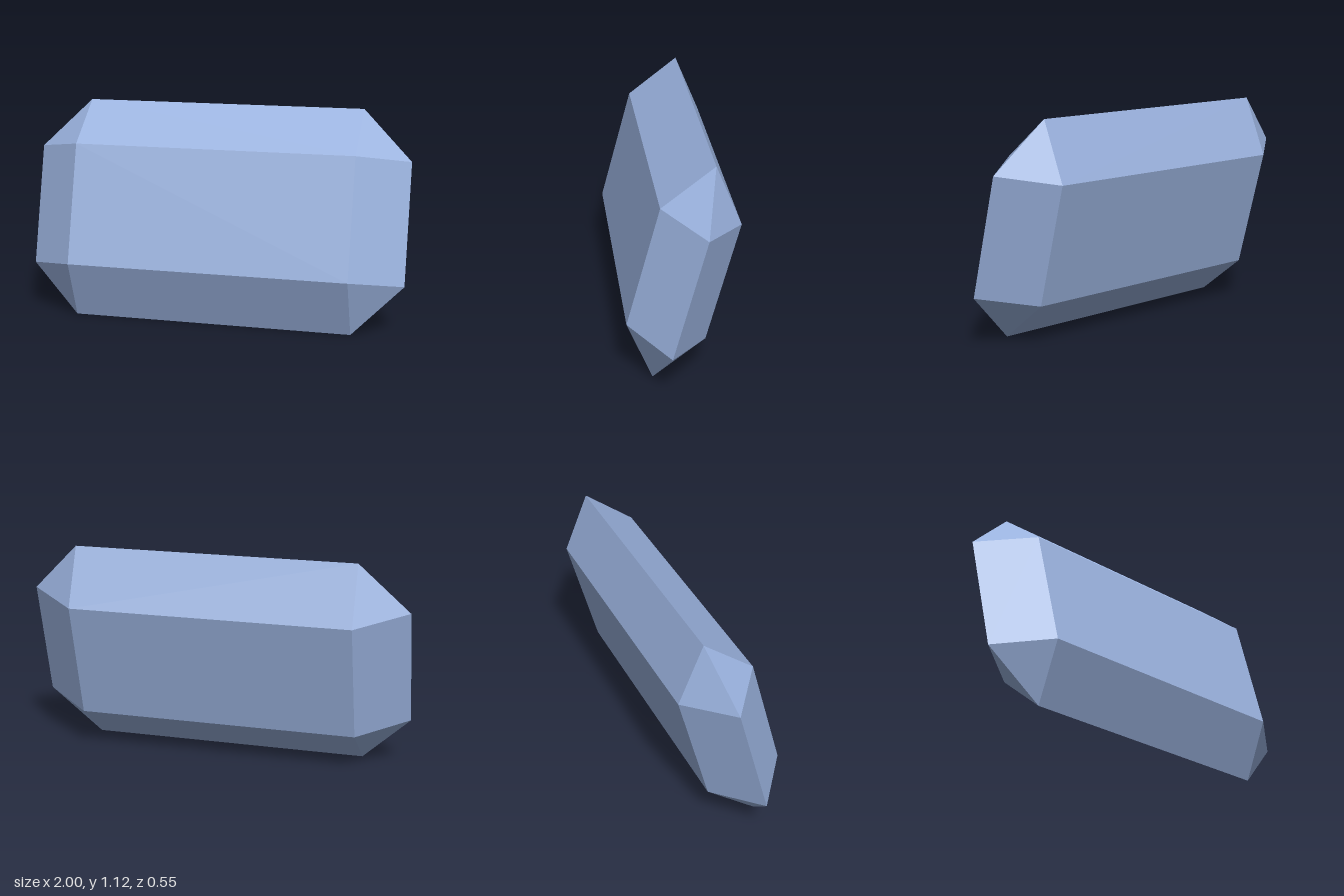
import * as THREE from 'three';
import { ConvexGeometry } from 'three/addons/geometries/ConvexGeometry.js';

export function createModel() {
  const model = new THREE.Group();
  model.name = 'crystal';

  const blue = new THREE.MeshStandardMaterial({ color: 0x9ab2de });
  blue.name = 'pale blue';

  // Rectangular front and back faces, with bevels meeting at a rim halfway through
  const faceX = 0.74, faceY = 0.318, faceZ = 0.2;
  const rimX = 1, rimY = 0.58;
  const points = [];
  for (const sx of [-1, 1]) {
    for (const sy of [-1, 1]) {
      for (const sz of [-1, 1]) points.push(new THREE.Vector3(sx * faceX, sy * faceY, sz * faceZ));
      points.push(new THREE.Vector3(sx * faceX, sy * rimY, 0)); // top and bottom ridges
      points.push(new THREE.Vector3(sx * rimX, sy * faceY, 0)); // side ridges
    }
  }
  const gem = new THREE.Mesh(new ConvexGeometry(points), blue);
  gem.name = 'bevelledGem';

  // Lean back and rest the lower ridge on the ground
  const lean = THREE.MathUtils.degToRad(15);
  gem.rotation.x = -lean;
  gem.position.y = rimY * Math.cos(lean);
  model.add(gem);
  return model;
}
